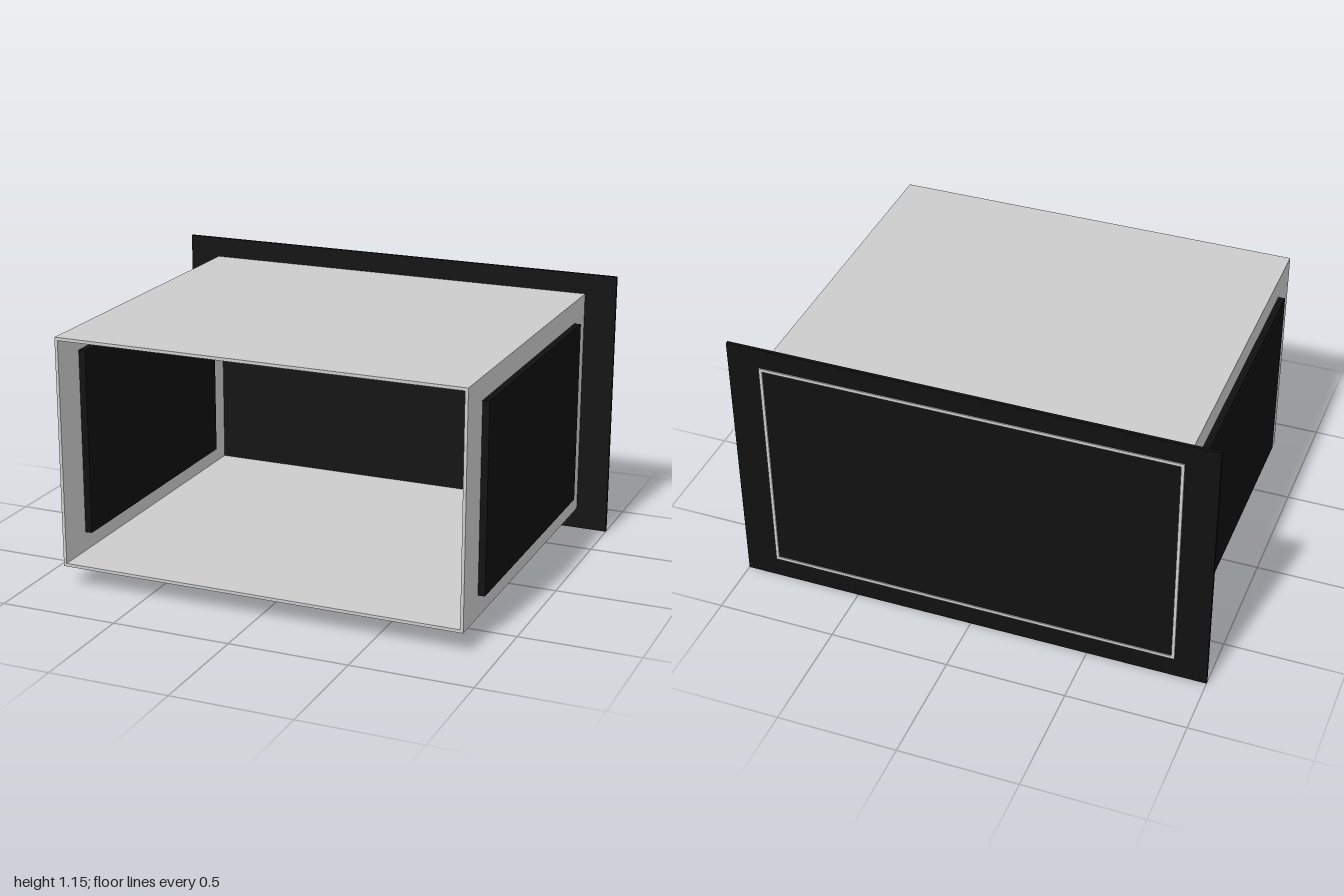
import * as THREE from 'three';

const grey = new THREE.MeshStandardMaterial({ color: 0xcccccc });
const black = new THREE.MeshStandardMaterial({ color: 0x101010 });

// Counter-clockwise rectangle outline, used for the shell and its opening
function rectangle(PathType, halfWidth, bottom, top) {
  return new PathType().setFromPoints([
    new THREE.Vector2(-halfWidth, bottom),
    new THREE.Vector2(halfWidth, bottom),
    new THREE.Vector2(halfWidth, top),
    new THREE.Vector2(-halfWidth, top),
  ]);
}

function box(name, size, position) {
  const mesh = new THREE.Mesh(new THREE.BoxGeometry(...size), black);
  mesh.name = name;
  mesh.position.set(...position);
  return mesh;
}

export function createModel() {
  const model = new THREE.Group();
  model.name = 'openBox';

  // Thin-walled rectangular sleeve, open at front and back
  const depth = 1.494, wall = 0.013, bottom = 0.09, top = 1.061, halfWidth = 0.865;
  const outline = rectangle(THREE.Shape, halfWidth, bottom, top);
  outline.holes.push(rectangle(THREE.Path, halfWidth - wall, bottom + wall, top - wall));
  const sleeve = new THREE.Mesh(
    new THREE.ExtrudeGeometry(outline, { depth, bevelEnabled: false }), grey);
  sleeve.name = 'sleeve';
  sleeve.position.z = -depth / 2;
  model.add(sleeve);

  // Wide back plate, with the sleeve's rim just showing through it
  model.add(box('backPlate', [2, 1.147, 0.014], [0, 0.5735, -0.735]));

  // Side panels set through the sleeve walls, proud on both faces
  for (const [name, side] of [['leftPanel', 1], ['rightPanel', -1]]) {
    model.add(box(name, [0.07, 0.784, 1.17], [side * 0.858, 0.575, 0]));
  }

  return model;
}
